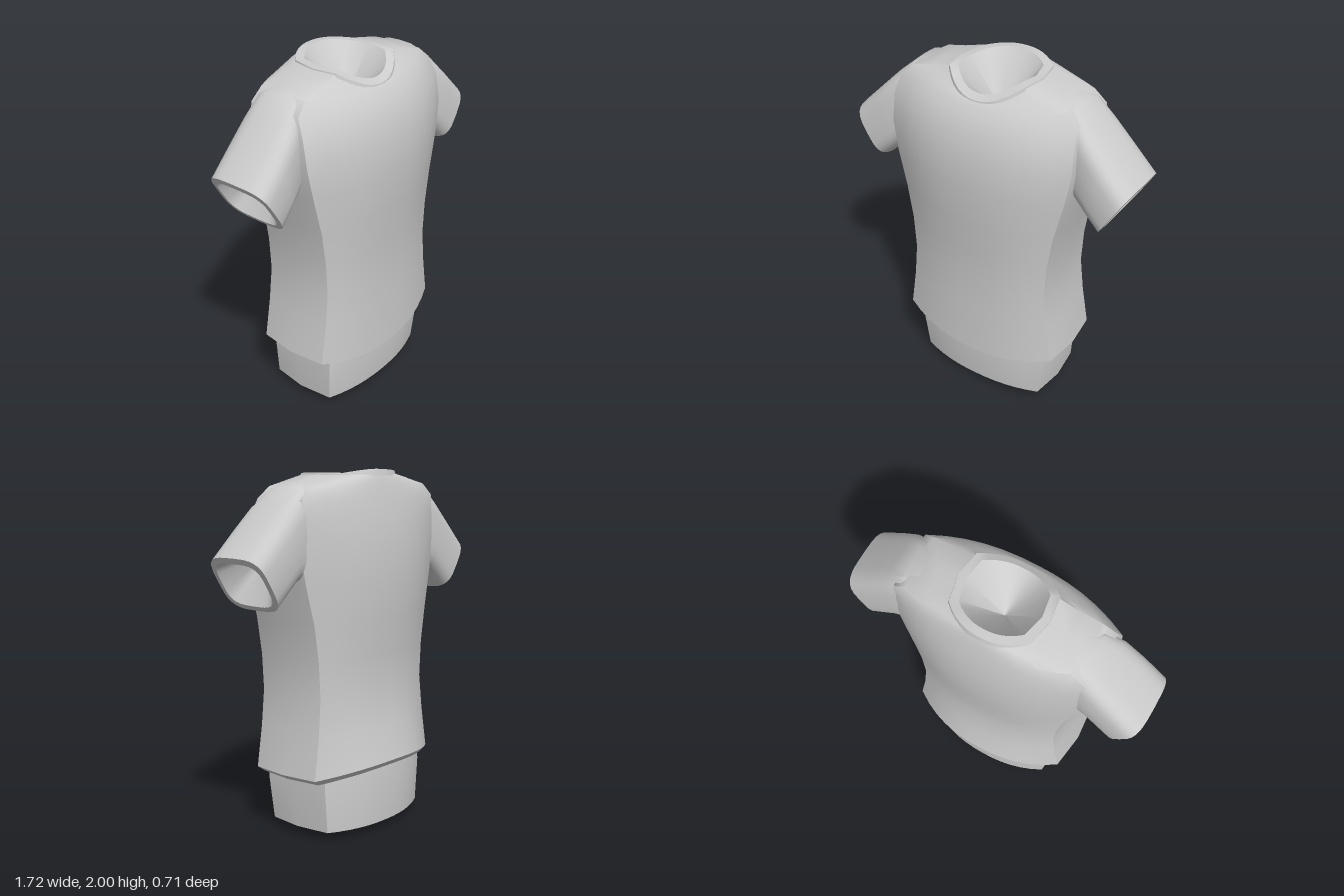
import * as THREE from 'three';
import { toCreasedNormals } from 'three/addons/utils/BufferGeometryUtils.js';

// Skin a list of closed rings (arrays of [x, y, z]) into one surface.
function loft(rings, name, material) {
  const pos = [];
  const n = rings[0].length;
  for (let i = 0; i < rings.length - 1; i++) {
    for (let j = 0; j < n; j++) {
      const k = (j + 1) % n;
      const a = rings[i][j], b = rings[i][k], c = rings[i + 1][k], d = rings[i + 1][j];
      pos.push(...a, ...b, ...c, ...a, ...c, ...d);
    }
  }
  const geo = new THREE.BufferGeometry();
  geo.setAttribute('position', new THREE.Float32BufferAttribute(pos, 3));
  const mesh = new THREE.Mesh(toCreasedNormals(geo, 0.65), material);
  mesh.name = name;
  return mesh;
}

// Body section: bowed front, nearly flat sides with corners, bowed back.
// Heights are given at the front centre, the sides and the back centre.
function bodyRing([yFront, ySide, yBack, w, front, cornerFront, cornerBack, back]) {
  const pts = [];
  const arc = (dir, y, z, corner, wide) => {
    for (let i = 0; i <= 12; i++) {
      const t = (i / 6 - 1) * dir, s = Math.abs(t);
      pts.push([t * wide, y + (ySide - y) * s * s, corner + (z - corner) * (1 - s ** 2.3)]);
    }
  };
  const mid = (cornerFront + cornerBack) / 2;
  arc(1, yFront, front, cornerFront, w - 0.02);
  pts.push([w, ySide, mid]);
  arc(-1, yBack, back, cornerBack, w - 0.03);
  pts.push([-w, ySide, mid]);
  return pts;
}

const point = (x, y, z, n) => Array.from({ length: n }, () => [x, y, z]);
const N = 28;

// Sleeve section: rounded rectangle between a top and a bottom point.
function sleeveRing([xt, yt, xb, yb, zf, zb], side) {
  const pts = [];
  const soft = (v) => Math.sign(v) * Math.abs(v) ** 0.55;
  for (let i = 0; i < N; i++) {
    const a = (i / N) * Math.PI * 2;
    const u = (1 + soft(Math.cos(a))) / 2, s = soft(Math.sin(a));
    pts.push([
      side * (xb + (xt - xb) * u),
      yb + (yt - yb) * u,
      (zf + zb) / 2 + (s * (zf - zb)) / 2,
    ]);
  }
  return side > 0 ? pts : pts.reverse();
}

export function createModel() {
  const model = new THREE.Group();
  model.name = 'shirtTorso';
  const grey = new THREE.MeshStandardMaterial({ color: 0xcccccc });
  grey.name = 'light grey';

  // Hips below the hem, with a slightly domed underside
  model.add(loft([
    point(0, 0, 0, N),
    bodyRing([0.045, 0.05, 0.045, 0.415, 0.265, 0.2, -0.2, -0.29]),
    bodyRing([0.3, 0.3, 0.3, 0.435, 0.285, 0.22, -0.2, -0.295]),
    bodyRing([0.5, 0.5, 0.5, 0.42, 0.27, 0.2, -0.19, -0.27]),
  ], 'hips', grey));

  // Shirt body from the turned-in hem to the neckline
  model.add(loft([
    [0.36, 0.4, 0.42, 0.42, 0.27, 0.2, -0.19, -0.28],
    [0.27, 0.335, 0.375, 0.475, 0.295, 0.21, -0.19, -0.315],
    [0.295, 0.365, 0.412, 0.512, 0.322, 0.23, -0.2, -0.352],
    [0.6, 0.6, 0.6, 0.475, 0.312, 0.23, -0.195, -0.305],
    [0.8, 0.8, 0.8, 0.455, 0.31, 0.23, -0.19, -0.277],
    [1.0, 1.0, 1.0, 0.466, 0.32, 0.23, -0.19, -0.285],
    [1.2, 1.2, 1.2, 0.497, 0.34, 0.23, -0.19, -0.305],
    [1.42, 1.42, 1.42, 0.55, 0.356, 0.225, -0.18, -0.32],
    [1.6, 1.6, 1.6, 0.582, 0.352, 0.215, -0.175, -0.315],
    [1.74, 1.75, 1.75, 0.58, 0.322, 0.19, -0.175, -0.3],
    [1.82, 1.85, 1.85, 0.56, 0.285, 0.145, -0.175, -0.28],
    [1.86, 1.912, 1.92, 0.49, 0.255, 0.13, -0.17, -0.265],
    [1.88, 1.945, 1.965, 0.36, 0.238, 0.12, -0.16, -0.252],
    [1.885, 1.97, 1.98, 0.25, 0.222, 0.12, -0.15, -0.245],
  ].map(bodyRing), 'shirtBody', grey));

  // Raised neckband and the hollow inside it
  model.add(loft([
    bodyRing([1.862, 1.95, 1.965, 0.258, 0.242, 0.13, -0.16, -0.258]),
    bodyRing([1.885, 1.977, 1.998, 0.25, 0.238, 0.13, -0.155, -0.25]),
    bodyRing([1.91, 1.98, 2.0, 0.208, 0.2, 0.11, -0.13, -0.205]),
    point(0, 1.74, 0, N),
  ], 'neckband', grey));

  // Short sleeves with a rim and a hollow end
  for (const side of [1, -1]) {
    const rings = [
      [0.3, 1.95, 0.3, 1.5, 0.1, -0.16],
      [0.5, 1.915, 0.48, 1.44, 0.145, -0.19],
      [0.6, 1.828, 0.555, 1.41, 0.18, -0.193],
      [0.72, 1.71, 0.615, 1.357, 0.193, -0.195],
      [0.862, 1.57, 0.69, 1.288, 0.2, -0.195],
      [0.847, 1.54, 0.708, 1.312, 0.17, -0.165],
    ].map((r) => sleeveRing(r, side));
    rings.push(point(side * 0.58, 1.6, 0, N));
    model.add(loft(rings, side > 0 ? 'leftSleeve' : 'rightSleeve', grey));
  }
  return model;
}
